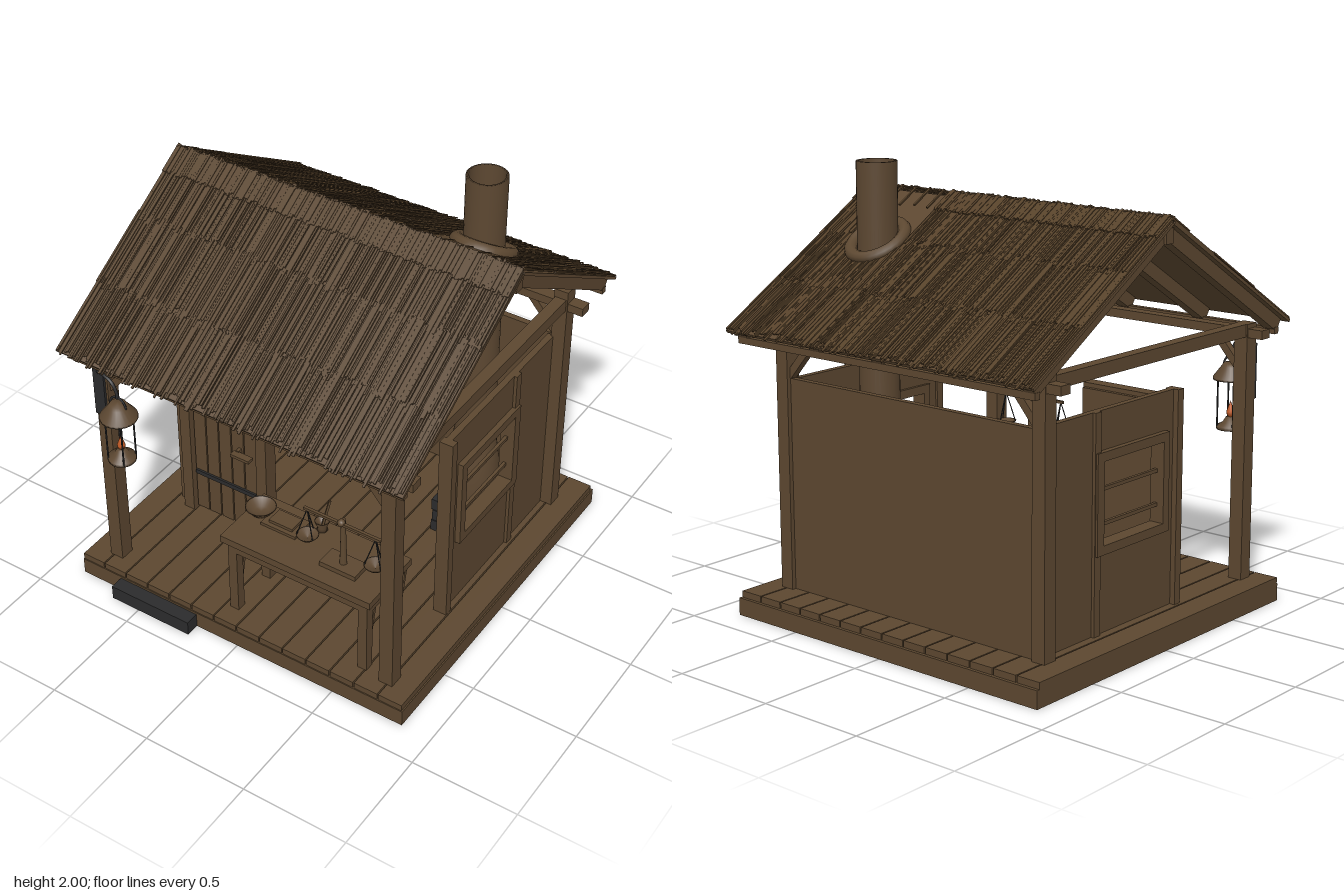
import * as THREE from 'three';
import { mergeGeometries } from 'three/addons/utils/BufferGeometryUtils.js';

export function createModel() {
  const root = new THREE.Group();
  root.name = 'hut';
  const mat = (name, color, side = THREE.FrontSide) => {
    const m = new THREE.MeshStandardMaterial({ color, side });
    m.name = name;
    return m;
  };
  const wood = mat('wood', 0x5c4730);
  const thatch = mat('thatch', 0x57422a);
  const iron = mat('iron', 0x2b2b2c);
  const ember = mat('ember', 0xc05a26, THREE.DoubleSide);
  const metal = mat('flue brown', 0x5c4731, THREE.DoubleSide);
  const V = (x, y, z) => new THREE.Vector3(x, y, z);

  const add = (name, geo, m = wood, x = 0, y = 0, z = 0) => {
    const mesh = new THREE.Mesh(geo, m);
    mesh.name = name;
    mesh.position.set(x, y, z);
    root.add(mesh);
    return mesh;
  };
  // box given by its extents
  const box = (name, x0, x1, y0, y1, z0, z1, m = wood) =>
    add(name, new THREE.BoxGeometry(x1 - x0, y1 - y0, z1 - z0), m, (x0 + x1) / 2, (y0 + y1) / 2, (z0 + z1) / 2);
  // bar of section w x h from a to b
  const bar = (name, a, b, w, h, m = wood) => {
    const mesh = add(name, new THREE.BoxGeometry(w, h, a.distanceTo(b)), m);
    mesh.position.copy(a).add(b).multiplyScalar(0.5);
    mesh.lookAt(b);
    return mesh;
  };
  const lathe = (name, pts, m, x, y, z, seg = 24) =>
    add(name, new THREE.LatheGeometry(pts.map(p => new THREE.Vector2(...p)), seg), m, x, y, z);
  const tube = (name, pts, r, m) =>
    add(name, new THREE.TubeGeometry(new THREE.CatmullRomCurve3(pts), 20, r, 6), m);
  let seed = 7;
  const rnd = () => (seed = (seed * 16807) % 2147483647) / 2147483647;

  // base, floor planks and step
  box('base', -0.86, 0.855, 0, 0.08, -0.86, 0.85);
  for (let i = 0; i < 14; i++) {
    const x = -0.86 + i * 0.1225;
    box('floorPlank', x, x + 0.116, 0.08, 0.11, -0.845, 0.845);
  }
  box('step', -0.645, -0.22, 0, 0.07, 0.85, 0.915, iron);

  // posts, braces, side walls with windows
  for (const s of [-1, 1]) {
    const sbox = (name, x0, x1, ...r) => box(name, Math.min(s * x0, s * x1), Math.max(s * x0, s * x1), ...r);
    sbox('frontPost', 0.69, 0.757, 0.11, 1.285, 0.705, 0.775);
    sbox('backPost', 0.69, 0.757, 0.11, 1.325, -0.69, -0.62);
    sbox('tieBeam', 0.695, 0.75, 1.228, 1.285, -0.64, 0.72);
    for (const z of [0.74, -0.655])
      bar('postBrace', V(s * 0.7, 1.08, z), V(s * 0.56, 1.24, z), 0.035, 0.035);
    const wall = new THREE.Shape([[-0.24, 0.11], [0.63, 0.11], [0.63, 1.07], [-0.24, 1.07]].map(p => new THREE.Vector2(...p)));
    wall.holes.push(new THREE.Path([[-0.145, 0.5], [-0.145, 0.86], [0.265, 0.86], [0.265, 0.5]].map(p => new THREE.Vector2(...p))));
    const g = new THREE.ExtrudeGeometry(wall, { depth: 0.03, bevelEnabled: false }).rotateY(Math.PI / 2);
    add('sideWall', g, wood, s > 0 ? 0.67 : -0.7);
    sbox('wallStud', 0.66, 0.725, 0.11, 1.07, 0.24, 0.28);
    sbox('wallStud', 0.67, 0.715, 0.11, 1.07, -0.315, -0.275);
    sbox('windowSill', 0.655, 0.725, 0.46, 0.5, -0.31, 0.185);
    sbox('windowHead', 0.655, 0.725, 0.86, 0.9, -0.31, 0.185);
    sbox('windowJamb', 0.655, 0.725, 0.5, 0.86, 0.145, 0.185);
    sbox('windowJamb', 0.655, 0.725, 0.5, 0.86, -0.31, -0.265);
    for (const y of [0.58, 0.73])
      sbox('windowBar', 0.677, 0.692, y - 0.008, y + 0.008, -0.265, 0.145);
  }
  box('backWall', -0.69, 0.69, 0.11, 1.07, -0.67, -0.64);

  // door wall, frame and door
  box('doorWall', -0.7, -0.2, 0.11, 1.0, 0.25, 0.28);
  box('doorLintel', -0.685, -0.19, 0.96, 1.02, 0.27, 0.335);
  for (const x of [-0.675, -0.255]) box('doorJamb', x, x + 0.055, 0.11, 0.96, 0.27, 0.325);
  box('doorGap', -0.62, -0.255, 0.12, 0.96, 0.28, 0.288, iron);
  for (let i = 0; i < 5; i++)
    box('doorPlank', -0.61 + i * 0.07, -0.546 + i * 0.07, 0.13, 0.945, 0.28, 0.305);
  for (const y of [0.345, 0.78]) box('doorHinge', -0.605, -0.27, y - 0.011, y + 0.011, 0.3, 0.315, iron);
  box('doorHandle', -0.37, -0.27, 0.57, 0.585, 0.325, 0.36);
  box('handleMount', -0.36, -0.345, 0.565, 0.59, 0.3, 0.33);

  // roof frame
  const slope = 0.605, ang = Math.atan(slope), ca = Math.cos(ang), sa = Math.sin(ang);
  for (const z of [0.74, -0.655]) box('wallPlate', -0.83, 0.83, 1.225, 1.265, z - 0.03, z + 0.03);
  box('ridgeBeam', -0.84, 0.84, 1.735, 1.8, -0.025, 0.025);
  for (const s of [-1, 1]) {
    for (const x of [-0.8, -0.42, 0, 0.36, 0.8])
      bar('rafter', V(x, 1.782, 0), V(x, 1.782 - slope * 0.845, s * 0.845), 0.055, 0.06);
    box('eavePurlin', -0.83, 0.83, 1.235, 1.265, s * 0.825 - 0.015, s * 0.825 + 0.015);
  }

  // roof sheets; the back one has a hole for the flue
  for (const s of [-1, 1]) {
    const L = 0.88 / ca;
    const sh = new THREE.Shape([[-0.86, 0], [0.855, 0], [0.855, L], [-0.86, L]].map(p => new THREE.Vector2(s > 0 ? -p[0] : p[0], p[1])));
    if (s < 0) sh.holes.push(new THREE.Path().absellipse(0.5, 0.31 / ca, 0.088, 0.105, 0, Math.PI * 2, true));
    const g = new THREE.ExtrudeGeometry(sh, { depth: 0.014, bevelEnabled: false }).rotateX(-Math.PI / 2 - ang);
    if (s > 0) g.rotateY(Math.PI);
    add('roofSheet', g, wood, 0, 1.816, 0);

    // thatch in overlapping courses, left open around the flue
    const reeds = [];
    const reed = (x, d0, d1, w, lift) => reeds.push(new THREE.BoxGeometry(w, 0.006, d1 - d0)
      .rotateX(s * ang)
      .translate(x, 1.832 + lift - sa * (d0 + d1) / 2, s * ca * (d0 + d1) / 2));
    for (let i = 0; i < 165; i++) {
      const x = -0.853 + i * 0.01037;
      const open = s < 0 && x > 0.36 && x < 0.68;
      for (let c = 0; c < 3; c++) {
        let d0 = c * 0.34 - 0.01 + rnd() * 0.03;
        const d1 = (c + 1) * 0.34 + rnd() * 0.05 - 0.005;
        if (open && d1 < 0.66) continue;
        if (open && c === 2) d0 = 0.61 + rnd() * 0.03;
        reed(x + (rnd() - 0.5) * 0.005, d0, d1, 0.006 + rnd() * 0.006, 0.004 + rnd() * 0.008);
      }
      if (!open || i % 8 === 0) reed(x, -0.012 + rnd() * 0.012, 0.12 + rnd() * 0.02, 0.01, 0.012 + rnd() * 0.006);
    }
    add('thatch', mergeGeometries(reeds), thatch);
  }

  // flue, hood, collar and hearth
  const fx = 0.5, fz = -0.31;
  lathe('flue', [[0.09, 0.67], [0.09, 2], [0.076, 2], [0.076, 0.67]], metal, fx, 0, fz, 32);
  lathe('hearthHood', [[0.11, 0.29], [0.122, 0.34], [0.122, 0.46], [0.11, 0.56], [0.09, 0.68]], metal, fx, 0, fz, 32);
  add('flueCollar', new THREE.TorusGeometry(0.122, 0.028, 10, 32).rotateX(Math.PI / 2 - ang).scale(1, 1, 1.08), wood, fx, 1.655, fz);
  add('embers', new THREE.CircleGeometry(0.11, 24).rotateX(-Math.PI / 2), ember, fx, 0.3, fz);
  for (const s of [-1, 1]) for (let i = 0; i < 3; i++) for (const z of [-0.39, -0.3, -0.21]) {
    const x = fx + s * 0.085 + (i % 2) * 0.006;
    box('hearthBrick', x - 0.042, x + 0.042, 0.11 + i * 0.062, 0.168 + i * 0.062, z - 0.043, z + 0.043, iron);
  }

  // table
  box('tableTop', -0.125, 0.64, 0.497, 0.532, 0.445, 0.775);
  box('tableApron', -0.1, 0.615, 0.445, 0.497, 0.46, 0.485);
  box('tableApron', -0.1, 0.615, 0.445, 0.497, 0.735, 0.755);
  for (const x of [-0.1, 0.57]) {
    box('tableRail', x, x + 0.045, 0.43, 0.475, 0.47, 0.75);
    for (const z of [0.47, 0.71]) {
      box('tableLeg', x, x + 0.045, 0.11, 0.497, z, z + 0.045);
      bar('tableBrace', V(x + 0.022, 0.23, z), V(x + 0.022, 0.45, z - 0.05), 0.02, 0.016);
    }
  }

  // things on the table
  lathe('bowl', [[0, 0.005], [0.035, 0], [0.07, 0.042], [0.063, 0.042], [0.033, 0.012], [0, 0.012]], metal, -0.06, 0.532, 0.56);
  box('board', -0.02, 0.16, 0.532, 0.546, 0.5, 0.62);
  box('book', 0.01, 0.13, 0.546, 0.56, 0.52, 0.6);
  lathe('mortar', [[0, 0], [0.025, 0], [0.02, 0.015], [0.034, 0.05], [0.028, 0.05], [0, 0.015]], metal, 0.22, 0.532, 0.5);
  bar('pestle', V(0.22, 0.55, 0.5), V(0.245, 0.69, 0.475), 0.01, 0.01);

  // balance scale
  const sx = 0.425, sz = 0.645;
  box('scaleBase', sx - 0.09, sx + 0.09, 0.532, 0.555, sz - 0.05, sz + 0.05);
  add('scalePost', new THREE.CylinderGeometry(0.01, 0.017, 0.245, 10), wood, sx, 0.677, sz);
  add('scaleKnob', new THREE.SphereGeometry(0.018, 12, 8), wood, sx, 0.79, sz + 0.015);
  box('scaleBeam', sx - 0.185, sx + 0.195, 0.78, 0.793, sz + 0.01, sz + 0.024);
  for (const x of [sx - 0.17, sx + 0.17]) {
    lathe('scalePan', [[0, 0], [0.03, 0.006], [0.05, 0.028], [0.045, 0.028], [0, 0.006]], metal, x, 0.617, sz + 0.017);
    for (let k = 0; k < 3; k++) {
      const a = k * Math.PI * 2 / 3 + 0.5;
      bar('panString', V(x, 0.785, sz + 0.017), V(x + 0.046 * Math.cos(a), 0.643, sz + 0.017 + 0.046 * Math.sin(a)), 0.004, 0.004, iron);
    }
  }

  // lantern on its bracket
  const lx = -0.605, lz = 0.815;
  box('bracketPlate', -0.757, -0.7, 0.94, 1.19, 0.775, 0.787, iron);
  tube('bracketArm', [V(-0.73, 1.17, 0.785), V(-0.69, 1.19, 0.805), V(-0.63, 1.175, lz), V(lx, 1.12, lz), V(lx, 1.1, lz)], 0.008, iron);
  const ring = add('lanternHandle', new THREE.TorusGeometry(0.042, 0.005, 6, 20, Math.PI), iron, lx, 1.06, lz);
  ring.scale.y = 1.1;
  lathe('lanternRoof', [[0, 0.995], [0.083, 1.0], [0.083, 1.01], [0.045, 1.06], [0.035, 1.075], [0, 1.08]], metal, lx, 0, lz);
  lathe('lanternBase', [[0, 0.77], [0.062, 0.77], [0.062, 0.785], [0.035, 0.8], [0.02, 0.825], [0, 0.825]], metal, lx, 0, lz);
  for (let k = 0; k < 4; k++) {
    const a = k * Math.PI / 2 + Math.PI / 4;
    add('lanternRod', new THREE.CylinderGeometry(0.004, 0.004, 0.23, 6), iron, lx + 0.06 * Math.cos(a), 0.89, lz + 0.06 * Math.sin(a));
  }
  lathe('lanternFlame', [[0, 0.82], [0.016, 0.835], [0.018, 0.85], [0.009, 0.875], [0, 0.9]], ember, lx, 0, lz, 12);

  return root;
}
